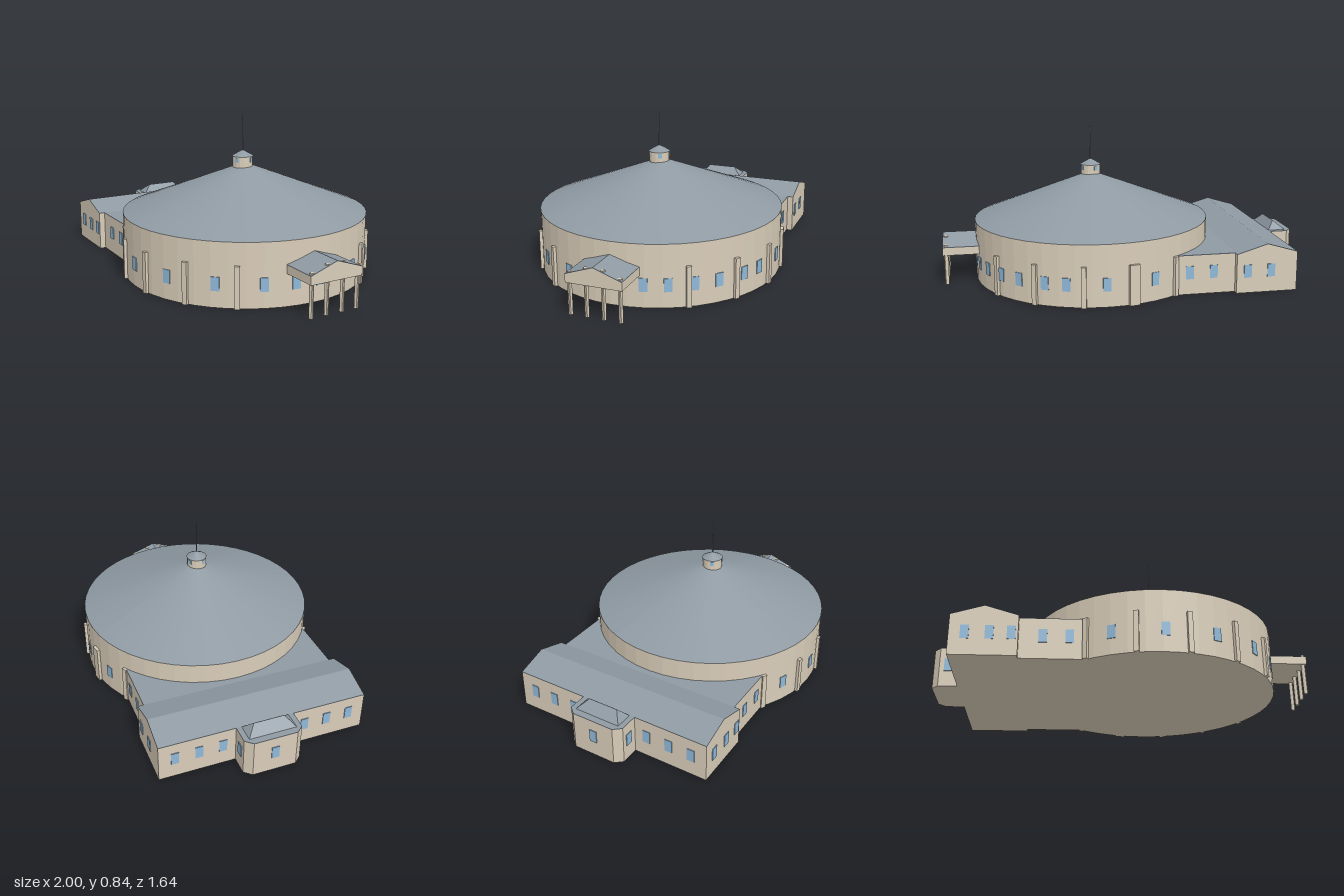
import * as THREE from 'three';

const mat = (color) => new THREE.MeshStandardMaterial({ color, flatShading: true });

export function createModel() {
  const model = new THREE.Group();
  const wall = mat(0xd9cdb9), roof = mat(0x8f9aa3), glass = mat(0x8fb8d8), metal = mat(0x6f757a);

  // Everything is laid out around the drum's axis, then turned as a whole
  const hall = new THREE.Group();
  hall.name = 'roundHall';
  hall.position.set(0.175, 0, 0.148);
  hall.rotation.y = THREE.MathUtils.degToRad(-25.7);
  model.add(hall);

  const add = (name, geo, material, x = 0, y = 0, z = 0, ry = 0) => {
    const m = new THREE.Mesh(geo, material);
    m.name = name;
    m.position.set(x, y, z);
    m.rotation.y = ry;
    hall.add(m);
    return m;
  };
  const box = (w, h, d) => new THREE.BoxGeometry(w, h, d);
  const extrude = (pts, depth) => new THREE.ExtrudeGeometry(
    new THREE.Shape(pts.map((p) => new THREE.Vector2(...p))), { depth, bevelEnabled: false });

  // Item on the drum wall at an angle in degrees
  const onDrum = (name, geo, material, deg, r, y) => {
    const a = THREE.MathUtils.degToRad(deg);
    add(name, geo, material, Math.cos(a) * r, y, Math.sin(a) * r, -a);
  };

  // Gabled block: pentagon walls with a thin two-sided roof skin
  const gabled = (name, width, length, y0, eave, ridge, x, z, ry) => {
    const w = width / 2, t = 0.003;
    const body = extrude([[-w, y0], [w, y0], [w, eave - t], [0, ridge - t], [-w, eave - t]], length);
    const skin = extrude([[-w, eave - t], [0, ridge - t], [w, eave - t], [w, eave], [0, ridge], [-w, eave]], length);
    for (const g of [body, skin]) g.translate(0, 0, -length / 2);
    add(name + 'Walls', body, wall, x, 0, z, ry);
    add(name + 'Roof', skin, roof, x, 0, z, ry);
  };

  // Drum and conical roof
  const R = 0.659, EAVE = 0.215;
  add('drumWall', new THREE.CylinderGeometry(R, R, 0.33, 48), wall, 0, 0.165, 0);
  add('drumRoof', new THREE.ConeGeometry(R + 0.001, 0.256, 48), roof, 0, 0.458, 0);

  // Pilasters at regular steps, one of them double width
  for (let k = 1; k <= 5; k++) {
    for (const s of [-1, 1]) {
      const wide = s < 0 && k === 4;
      onDrum('pilaster', box(0.03, EAVE, wide ? 0.055 : 0.026), wall, s * (k + 0.5) * 22.5, R, EAVE / 2);
    }
  }

  // Drum windows
  const WY = 0.12, WH = 0.07, WW = 0.042;
  for (const deg of [112, 89, 66, 43, 22.5, 8.5, -3, -14.5, -25, -36.4, -47.6, -61, -71, -89, -112])
    onDrum('drumWindow', box(0.012, WH, WW), glass, deg, 0.656, WY);

  // Lantern with small windows, cap and mast
  const lx = 0, lz = 0.011;
  add('lanternWall', new THREE.CylinderGeometry(0.055, 0.055, 0.085, 16), wall, lx, 0.58, lz);
  add('lanternRoof', new THREE.ConeGeometry(0.059, 0.033, 16), roof, lx, 0.6375, lz);
  for (let i = 0; i < 4; i++) {
    const a = (i + 0.72) * Math.PI / 2;
    add('lanternWindow', box(0.006, 0.024, 0.02), glass,
      lx + Math.cos(a) * 0.0535, 0.602, lz + Math.sin(a) * 0.0535, -a);
  }
  add('mastBase', new THREE.CylinderGeometry(0.003, 0.004, 0.07, 8), metal, lx, 0.68, lz);
  add('mastTip', new THREE.CylinderGeometry(0.001, 0.002, 0.13, 8), metal, lx, 0.777, lz);

  // Long gabled wing and flat-roofed link to the drum
  const WX = -0.8625, HALF = 0.578;
  gabled('wing', 0.335, HALF * 2, 0, EAVE, 0.265, WX, 0, 0);
  add('linkWalls', box(0.42, EAVE - 0.003, 1.092), wall, -0.49, (EAVE - 0.003) / 2, 0);
  add('linkRoof', box(0.42, 0.003, 1.092), roof, -0.49, EAVE - 0.0015, 0);

  // Wing and link windows
  const pane = (x, z, alongX) =>
    add('wingWindow', alongX ? box(WW, WH, 0.008) : box(0.008, WH, WW), glass, x, WY, z);
  for (const x of [-0.953, -0.834, -0.728]) pane(x, HALF, true);
  for (const x of [-0.885, -0.755]) pane(x, -HALF, true);
  for (const s of [-1, 1]) {
    for (const x of [-0.577, -0.446]) pane(x, s * 0.546, true);
    for (const z of [0.23, 0.36, 0.49]) pane(-1.03, s * z, false);
  }

  // Chamfered bay on the back of the wing
  const plan = [[-1.02, -0.16], [-1.02, 0.16], [-1.131, 0.16], [-1.166, 0.12], [-1.166, -0.12], [-1.131, -0.16]];
  const bayLayer = (name, y, h, material) => {
    const g = extrude(plan.map(([x, z]) => [x, -z]), h);
    g.rotateX(-Math.PI / 2);
    add(name, g, material, 0, y, 0);
  };
  bayLayer('bayWalls', 0, EAVE - 0.003, wall);
  bayLayer('bayRoof', EAVE - 0.003, 0.003, roof);
  pane(-1.166, 0, false);
  for (const s of [-1, 1]) pane(-1.085, s * 0.16, true);

  // Hipped skylight over the bay: a box whose top is drawn in to a ridge
  const hip = box(0.1, 0.047, 0.264);
  const p = hip.attributes.position;
  for (let i = 0; i < p.count; i++) {
    if (p.getY(i) > 0) p.setXYZ(i, 0.008 + p.getX(i) * 0.02, p.getY(i), p.getZ(i) * 0.64);
  }
  hip.computeVertexNormals();
  add('bayHipRoof', hip, roof, -1.08, EAVE + 0.0225, 0);

  // Entrance canopy on four posts
  gabled('canopy', 0.296, 0.21, 0.167, 0.212, 0.263, 0.732, 0, Math.PI / 2);
  for (const [z, h] of [[0.132, 0.222], [0.045, 0.251]]) {
    for (const s of [-1, 1])
      add('canopyPost', new THREE.CylinderGeometry(0.011, 0.011, h, 12), wall, 0.82, h / 2, s * z);
  }

  return model;
}
